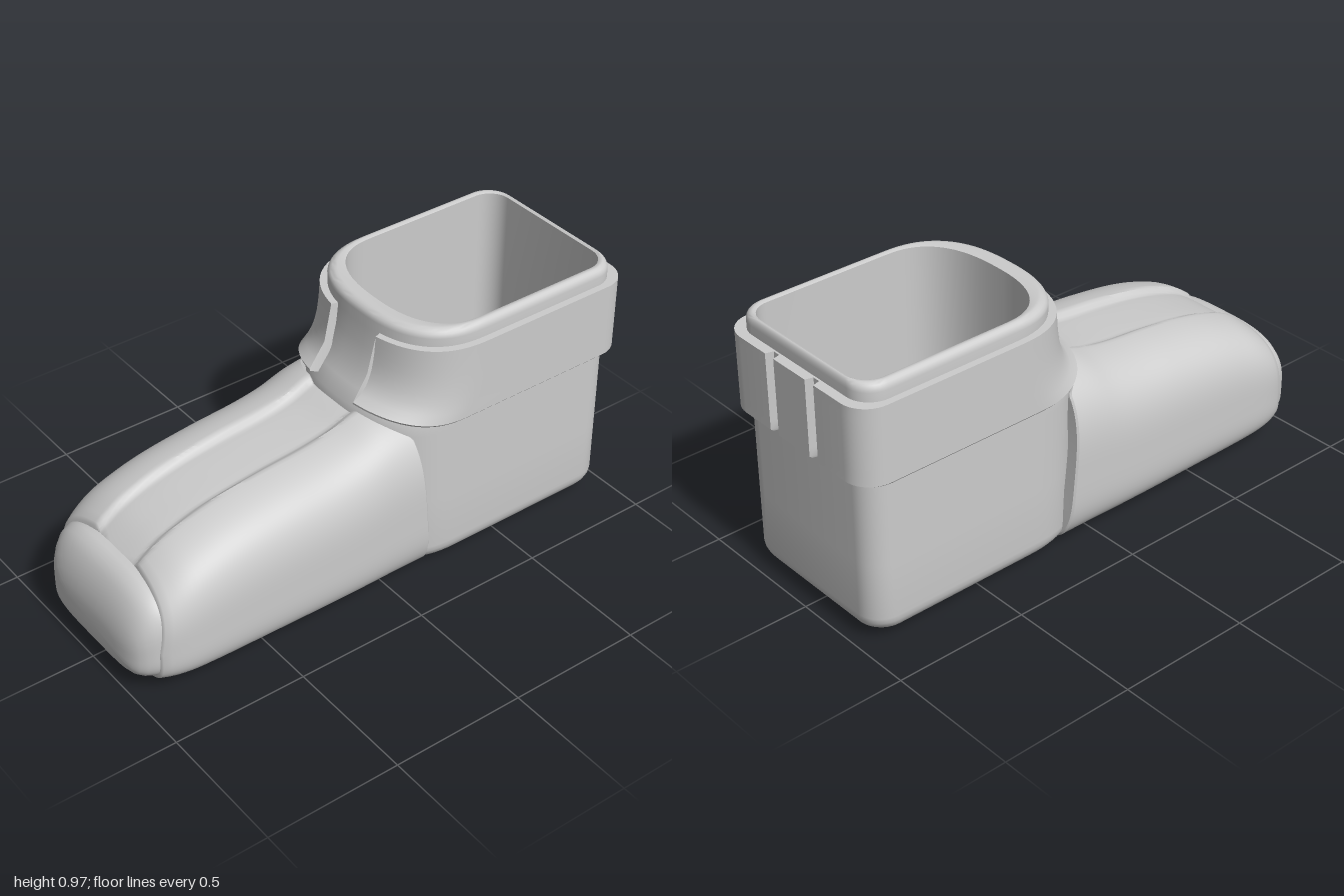
import * as THREE from 'three';
import { toCreasedNormals, mergeVertices } from 'three/addons/utils/BufferGeometryUtils.js';

const grey = new THREE.MeshStandardMaterial({ color: 0xcccccc, side: THREE.DoubleSide });
grey.name = 'light grey';

// Skin a surface over rows of [x, y, z] points.
function loft(name, rows, closed, crease = 0.7) {
  const n = rows[0].length;
  const index = [];
  for (let i = 0; i < rows.length - 1; i++) {
    for (let j = 0; j < (closed ? n : n - 1); j++) {
      const k = (j + 1) % n;
      const a = i * n + j, b = i * n + k, c = b + n, d = a + n;
      index.push(a, b, c, a, c, d);
    }
  }
  let geo = new THREE.BufferGeometry();
  geo.setAttribute('position', new THREE.Float32BufferAttribute(rows.flat(2), 3));
  geo.setIndex(index);
  geo = toCreasedNormals(mergeVertices(geo), crease);
  const mesh = new THREE.Mesh(geo, grey);
  mesh.name = name;
  return mesh;
}

const curve = (xs, ys) => {
  const c = new THREE.CubicInterpolant(xs, ys, 1, [0]);
  return (x) => c.evaluate(x)[0];
};

const centre = (row) => {
  const c = [0, 1, 2].map((k) => row.reduce((s, p) => s + p[k], 0) / row.length);
  return row.map(() => c);
};

// Half outline from the front (-x) round the +z side to the back centre.
// The front is a soft superellipse arc, the back has rounded corners.
function halfOutline(x0, x1, w, rf, rb, start = 0) {
  const pts = [];
  const e = 2 / 2.5;
  for (let i = 0; i <= 20; i++) {
    const a = start + (Math.PI / 2 - start) * i / 20;
    pts.push([x0 + rf * (1 - Math.max(0, Math.cos(a)) ** e), w * Math.sin(a) ** e]);
  }
  for (let i = 0; i <= 10; i++) {
    const a = Math.PI / 2 * i / 10;
    pts.push([x1 - rb + rb * Math.sin(a), w - rb + rb * Math.cos(a)]);
  }
  return pts;
}

function ring(y, x0, x1, w, rf, rb) {
  const half = halfOutline(x0, x1, w, rf, rb);
  const other = half.slice(1).reverse().map(([x, z]) => [x, -z]);
  return [...half, ...other].map(([x, z]) => [x, y, z]);
}

// Heel, ankle and hollow lining in one skin
function heelBody() {
  const rows = [];
  // rounded underside
  for (let i = 0; i <= 6; i++) {
    const a = Math.PI / 2 * i / 6;
    const inset = 0.07 * (1 - Math.sin(a));
    rows.push(ring(0.02 + 0.075 * (1 - Math.cos(a)), inset, 0.965 - inset, 0.335 - inset, 0.28, 0.09));
  }
  rows.unshift(centre(rows[0]));
  // walls, leaning back at the instep
  for (const [y, x0] of [[0.3, 0], [0.58, 0], [0.64, 0.005], [0.69, 0.04], [0.75, 0.07], [0.83, 0.088], [0.9, 0.097]])
    rows.push(ring(y, x0, 0.965, 0.335, 0.29, 0.09));
  // rolled rim
  for (let i = 0; i <= 6; i++) {
    const a = Math.PI / 2 * i / 6;
    const inset = 0.03 * (1 - Math.cos(a));
    rows.push(ring(0.94 + 0.03 * Math.sin(a), 0.1 + inset, 0.965 - inset * 0.4, 0.335 - inset * 0.8, 0.27, 0.09));
  }
  // lining and insole
  rows.push(ring(0.965, 0.17, 0.945, 0.3, 0.22, 0.08));
  rows.push(ring(0.6, 0.17, 0.945, 0.3, 0.22, 0.08));
  rows.push(ring(0.06, 0.17, 0.945, 0.3, 0.22, 0.08));
  rows.push(centre(rows[rows.length - 1]));
  return loft('heel and ankle', rows, true);
}

// Outline of the cuff, open at the front, with two grooves at the back
function cuffPath(x0, x1, w, grooved) {
  const half = halfOutline(x0, x1, w, 0.3, 0.1, 0.26);
  const dip = grooved ? 0.028 : 0;
  half.push([x1, 0.125], [x1 - dip, 0.117], [x1 - dip, 0.089], [x1, 0.081], [x1, 0.03]);
  return [...half, ...half.slice().reverse().map(([x, z]) => [x, -z])];
}

function cuff() {
  const front = curve([0, 0.2, 0.45, 0.7, 1], [-0.025, 0.025, 0.055, 0.068, 0.075]);
  const row = (t, inner) => {
    const path = cuffPath(front(t) + inner, 1 - inner * 1.3, 0.36 - inner, inner < 0.02);
    return path.map(([x, z]) => {
      const bottom = 0.62 + 0.05 * Math.max(0, 1 - x / 0.3) ** 2;
      return [x, bottom + (0.908 - bottom) * t, z];
    });
  };
  const rows = [row(0, 0.008), row(0.03, 0)];
  for (let i = 1; i <= 8; i++) rows.push(row(0.03 + 0.97 * i / 8, 0));
  rows.push(row(1, 0.035), row(0.5, 0.035), row(0, 0.035), row(0, 0.008));
  // close the two front ends
  const first = centre(rows.map((r) => r[0]))[0];
  const last = centre(rows.map((r) => r[r.length - 1]))[0];
  return loft('cuff', rows.map((r) => [first, ...r, last]), false);
}

// Foot cross-section: superellipse with a sunken strip along the top
const top = curve([-0.93, -0.88, -0.8, -0.7, -0.6, -0.4, -0.2, -0.1, 0, 0.17],
  [0.38, 0.425, 0.482, 0.523, 0.55, 0.58, 0.6, 0.62, 0.655, 0.68]);
const bottom = curve([-0.93, -0.8, -0.5, 0.17], [0.03, 0.014, 0.006, 0]);
const width = curve([-0.93, -0.88, -0.82, -0.7, -0.4, 0.17], [0.305, 0.328, 0.342, 0.35, 0.356, 0.36]);

function section(angle, w, t, b, dip = 0) {
  const c = Math.cos(angle), s = Math.sin(angle);
  const mid = b + (t - b) * 0.43;
  const h = s > 0 ? t - mid : mid - b;
  const n = s > 0 ? 3.2 : 4;
  const r = (Math.abs(c / w) ** n + Math.abs(s / h) ** n) ** (-1 / n);
  const z = r * c;
  let y = mid + r * s;
  if (s > 0) y -= dip * (1 - THREE.MathUtils.smoothstep(Math.abs(z), 0.1, 0.13));
  return [y, z];
}

const SIDES = 180;
const angles = Array.from({ length: SIDES }, (_, j) => -2 * Math.PI * j / SIDES + 0.0001);
const sinUp = (a) => Math.sin(a);

function footShell() {
  const row = (t, shrink) => angles.map((a) => {
    // the back edge slants, the front edge is notched round the toe cap
    const yEnd = section(a, 0.36, 0.66, 0)[0];
    const end = yEnd < 0.58 ? 0.16 - 0.05 * yEnd / 0.58 : 0.11 - 0.11 * (yEnd - 0.58) / 0.075;
    const side = Math.max(0, sinUp(a)) * Math.min(1, Math.abs(Math.cos(a)) * 2.2);
    const x = THREE.MathUtils.lerp(-0.922 + 0.05 * side, end, t);
    const [y, z] = section(a, width(x) - shrink, top(x) - shrink, bottom(x) + shrink, 0.022);
    return [x, y, z];
  });
  const rows = [row(0, 0.04), row(0, 0.006), row(0.006, 0)];
  for (let i = 1; i <= 40; i++) rows.push(row(0.006 + 0.988 * i / 40, 0));
  rows.push(row(1, 0.006), row(1, 0.05));
  return loft('foot shell', rows, true);
}

// Rounded cap closing the toe
function toeCap() {
  const stations = [
    [-1, 0.15, 0.2, 0.12], [-0.997, 0.2, 0.235, 0.095], [-0.988, 0.24, 0.275, 0.072],
    [-0.975, 0.265, 0.315, 0.058], [-0.955, 0.285, 0.355, 0.048], [-0.93, 0.3, 0.388, 0.042],
    [-0.9, 0.31, 0.402, 0.04], [-0.84, 0.315, 0.41, 0.04],
  ];
  const rows = stations.map(([x, w, t, b]) => angles.map((a) => [x, ...section(a, w, t, b)]));
  rows.unshift(centre(rows[0]));
  return loft('toe cap', rows, true, 1);
}

export function createModel() {
  const model = new THREE.Group();
  model.name = 'boot';
  model.add(heelBody(), cuff(), footShell(), toeCap());
  return model;
}
